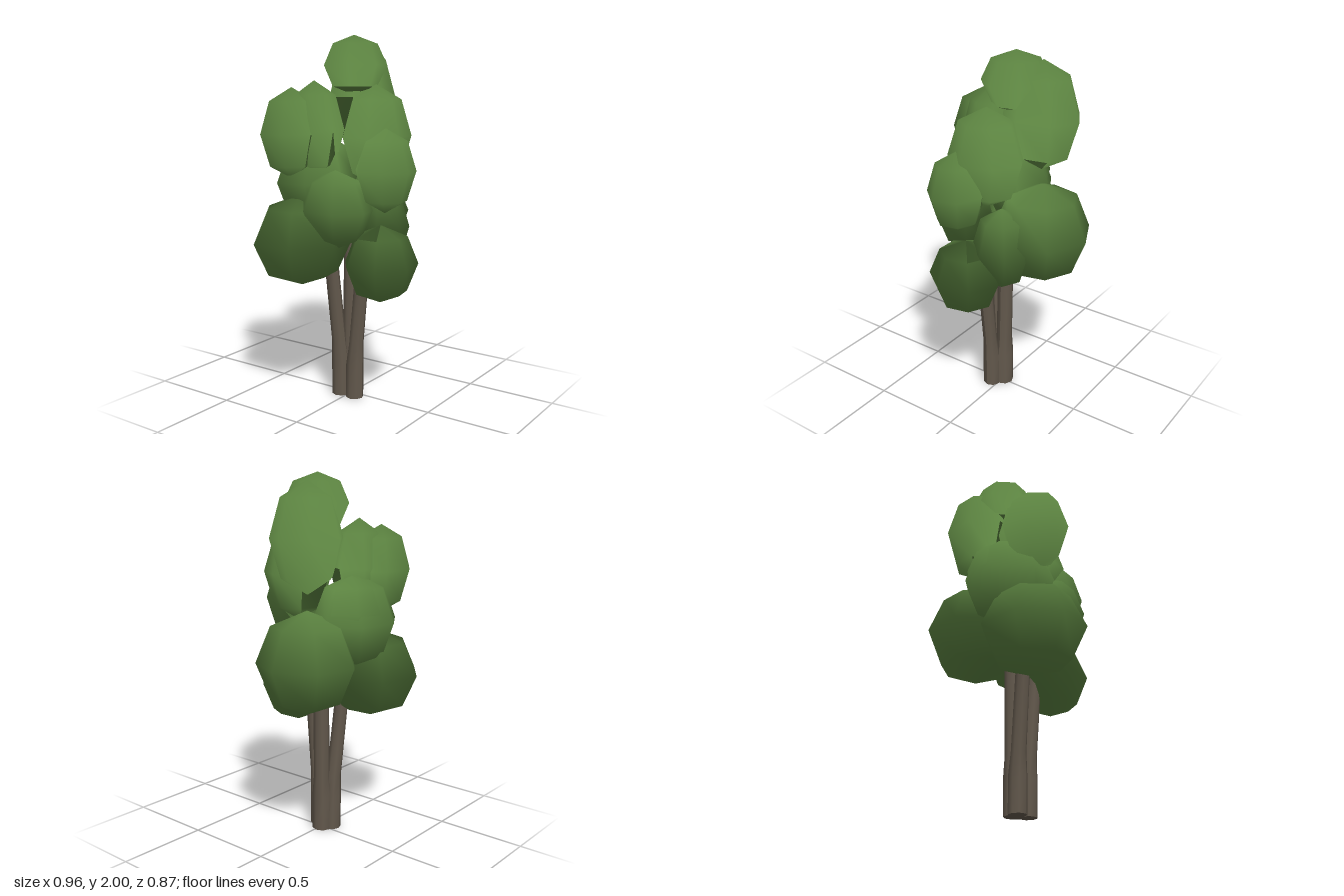
import * as THREE from 'three';

const leafGreen = new THREE.MeshStandardMaterial({ color: 0x5b8240, side: THREE.DoubleSide });
leafGreen.name = 'leafGreen';
const barkBrown = new THREE.MeshStandardMaterial({ color: 0x62584c });
barkBrown.name = 'barkBrown';

const CROWN_CENTRE = new THREE.Vector3(0, 1.2, -0.02);

// Seven-sided leaf clump; its normals fan out from the crown centre for soft shading
function leafClump([x, y, z, rx, ry, rz], i) {
  const geo = new THREE.SphereGeometry(1, 7, 4);
  geo.rotateY(Math.PI).scale(rx, ry, rz).translate(x, y, z);
  const pos = geo.attributes.position;
  const n = new THREE.Vector3();
  const own = new THREE.Vector3();
  for (let k = 0; k < pos.count; k++) {
    n.fromBufferAttribute(pos, k);
    own.set((n.x - x) / rx, (n.y - y) / ry, (n.z - z) / rz).normalize();
    n.sub(CROWN_CENTRE).normalize().addScaledVector(own, 0.4).normalize();
    geo.attributes.normal.setXYZ(k, n.x, n.y, n.z);
  }
  const mesh = new THREE.Mesh(geo, leafGreen);
  mesh.name = 'leafClump' + (i + 1);
  return mesh;
}

// Stem: thick upright foot, then a slimmer leaning shaft
function stem({ foot, top, r }, i) {
  const rings = [[0.005, r * 1.1, 0], [0.2, r * 1.1, 0.04], [0.32, r * 0.9, 0.2], [top[1], r * 0.85, 1]];
  const geo = new THREE.CylinderGeometry(1, 1, 3, 8, 3);
  const pos = geo.attributes.position;
  for (let k = 0; k < pos.count; k++) {
    const [y, radius, lean] = rings[Math.round(pos.getY(k) + 1.5)];
    pos.setXYZ(k,
      foot[0] + (top[0] - foot[0]) * lean + pos.getX(k) * radius,
      y,
      foot[1] + (top[2] - foot[1]) * lean + pos.getZ(k) * radius);
  }
  geo.computeVertexNormals();
  const mesh = new THREE.Mesh(geo, barkBrown);
  mesh.name = 'stem' + (i + 1);
  return mesh;
}

export function createModel() {
  const tree = new THREE.Group();
  tree.name = 'tree';

  // Three stems growing from one foot
  const trunk = new THREE.Group();
  trunk.name = 'trunk';
  [
    { foot: [0.006, -0.01], top: [0.02, 1.05, -0.012], r: 0.05 },
    { foot: [-0.04, 0.048], top: [-0.05, 0.85, 0.115], r: 0.045 },
    { foot: [-0.04, -0.045], top: [-0.09, 0.75, -0.07], r: 0.045 },
  ].forEach((s, i) => trunk.add(stem(s, i)));

  // Leaf clumps: centre x, y, z, then half sizes
  const crown = new THREE.Group();
  crown.name = 'crown';
  [
    [0.066, 1.84, -0.03, 0.184, 0.16, 0.178],
    [0.2, 1.67, -0.075, 0.215, 0.29, 0.18],
    [0.009, 1.47, 0.15, 0.216, 0.27, 0.178],
    [-0.09, 1.3, 0.273, 0.158, 0.22, 0.166],
    [-0.258, 1.485, -0.205, 0.19, 0.24, 0.162],
    [-0.16, 1.5, -0.13, 0.168, 0.26, 0.155],
    [-0.01, 1.28, -0.2, 0.17, 0.19, 0.165],
    [-0.07, 1.22, -0.18, 0.26, 0.26, 0.215],
    [0.21, 1.02, -0.08, 0.27, 0.28, 0.275],
    [-0.222, 0.91, -0.175, 0.285, 0.25, 0.27],
    [-0.07, 0.8, 0.235, 0.21, 0.21, 0.2],
    [-0.205, 1.09, 0.04, 0.172, 0.21, 0.21],
    [0.09, 0.965, 0.13, 0.165, 0.235, 0.158],
  ].forEach((c, i) => crown.add(leafClump(c, i)));

  tree.add(trunk, crown);
  return tree;
}
